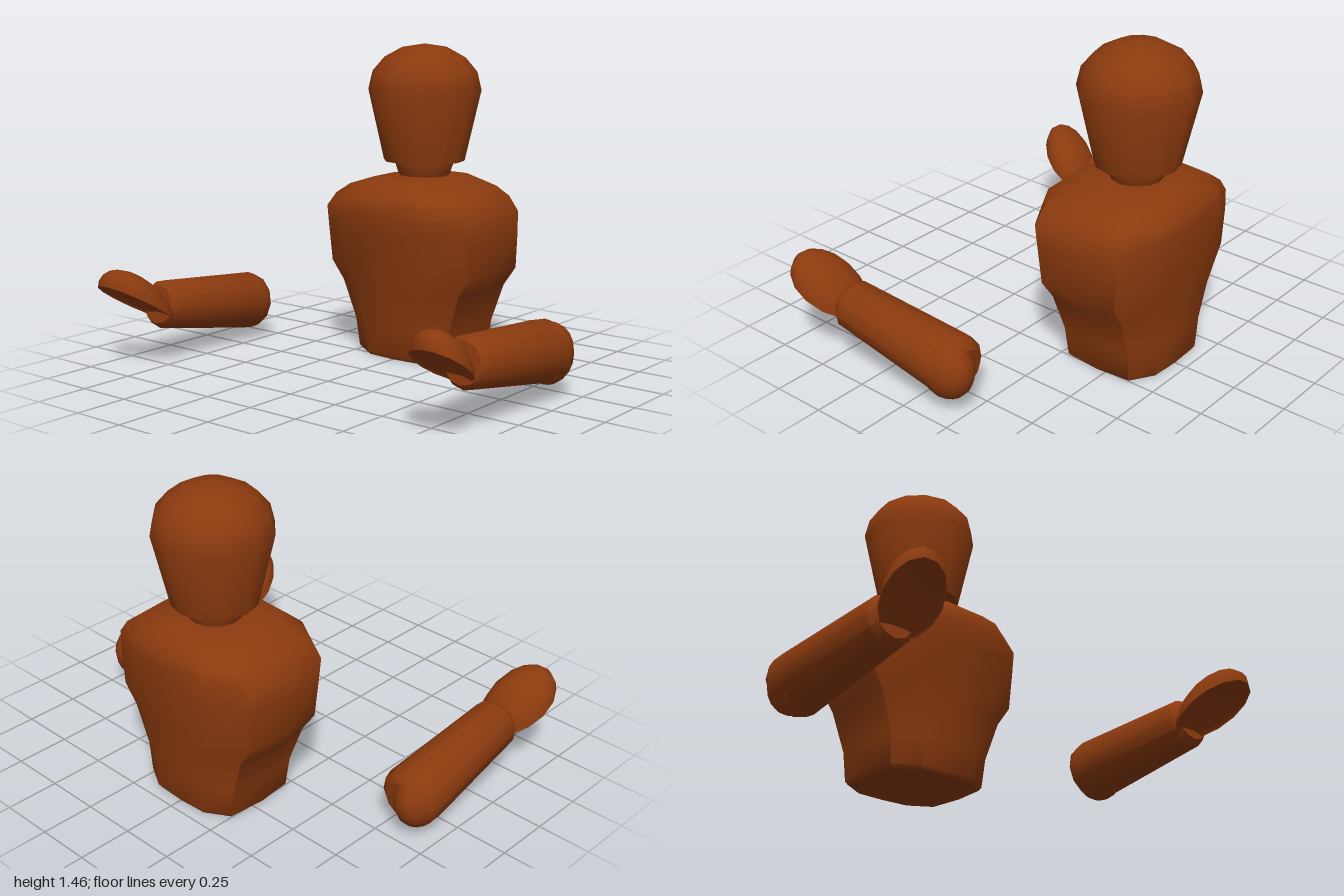
import * as THREE from 'three';
import { toCreasedNormals } from 'three/addons/utils/BufferGeometryUtils.js';

const material = new THREE.MeshStandardMaterial({ color: 0x8b3a0e });
const CENTRE_Z = -0.455;

function part(name, geometry, crease = 0.7) {
  const mesh = new THREE.Mesh(toCreasedNormals(geometry, crease), material);
  mesh.name = name;
  return mesh;
}

// Revolves a list of [radius, height] pairs, listed from bottom to top
function lathe(profile, sides) {
  return new THREE.LatheGeometry(profile.map(([r, y]) => new THREE.Vector2(r, y)), sides);
}

// Skins equal-length loops stacked upwards and closes both ends
function loft(loops) {
  const n = loops[0].length, pos = [], index = [];
  loops.forEach(loop => loop.forEach(p => pos.push(...p)));
  for (let i = 0; i < loops.length - 1; i++) {
    for (let j = 0; j < n; j++) {
      const a = i * n + j, b = i * n + (j + 1) % n;
      index.push(a, b, b + n, a, b + n, a + n);
    }
  }
  const top = (loops.length - 1) * n;
  for (let j = 1; j < n - 1; j++) {
    index.push(0, j + 1, j, top, top + j, top + j + 1);
  }
  const g = new THREE.BufferGeometry();
  g.setAttribute('position', new THREE.Float32BufferAttribute(pos, 3));
  g.setIndex(index);
  return g;
}

function createTorso() {
  // Half of the unit cross-section from front to back, then mirrored
  const half = [[0, 1], [0.54, 0.96], [0.94, 0.65], [1, 0], [0.94, -0.7], [0.53, -0.97], [0, -1]];
  const section = [...half, ...half.slice(1, -1).reverse().map(([x, z]) => [-x, z])];
  // Height, half width, back z, front z
  const levels = [
    [0, 0.26, -0.69, -0.22], [0.015, 0.275, -0.7, -0.21], [0.15, 0.29, -0.705, -0.195],
    [0.33, 0.355, -0.722, -0.17], [0.42, 0.42, -0.732, -0.155], [0.6, 0.422, -0.75, -0.122],
    [0.69, 0.422, -0.75, -0.108], [0.755, 0.37, -0.748, -0.118], [0.8, 0.31, -0.71, -0.17],
    [0.838, 0.19, -0.67, -0.225], [0.848, 0.1, -0.58, -0.33],
  ];
  return part('torso', loft(levels.map(([y, w, back, front]) =>
    section.map(([x, z]) => [x * w, y, (front + back) / 2 + z * (front - back) / 2]))), 0.75);
}

// Domed top with a shallow scooped underside, sheared up and outwards to the tip
function createHand(side, z) {
  const g = new THREE.SphereGeometry(1, 14, 12);
  const p = g.attributes.position;
  for (let i = 0; i < p.count; i++) {
    const u = p.getX(i), v = p.getY(i), w = p.getZ(i) * 0.155;
    const h = v < 0 ? -v * 0.03 : v * 0.135;
    p.setXYZ(i, u * 0.142 + side * w * 0.25, h + w * 0.65, w);
  }
  const hand = part('hand', g, 0.9);
  hand.position.set(side * 0.855, 0.29, z);
  return hand;
}

function createArm(side, elbow, wrist, ballZ, handZ) {
  const arm = new THREE.Group();
  arm.name = side > 0 ? 'leftArm' : 'rightArm';
  const from = new THREE.Vector3(...elbow), axis = new THREE.Vector3(...wrist).sub(from);
  const len = axis.length();

  const forearm = part('forearm', lathe(
    [[0, 0], [0.1, 0], [0.13, 0.025], [0.14, 0.07], [0.112, len - 0.03], [0.09, len], [0, len]], 12));
  forearm.position.copy(from);
  forearm.quaternion.setFromUnitVectors(new THREE.Vector3(0, 1, 0), axis.normalize());

  const joint = part('elbow', new THREE.SphereGeometry(1, 14, 10).scale(0.1, 0.135, 0.13));
  joint.position.set(side * 0.885, elbow[1] + 0.005, ballZ);

  arm.add(forearm, joint, createHand(side, handZ));
  return arm;
}

export function createModel() {
  const model = new THREE.Group();
  model.name = 'mannequin';
  model.add(createTorso());

  const neck = part('neck', lathe([[0, 0.83], [0.11, 0.83], [0.125, 0.865], [0.137, 0.9], [0.137, 0.93], [0, 0.93]], 12));
  const head = part('head', lathe([
    [0, 0.915], [0.19, 0.915], [0.265, 1.245], [0.245, 1.33], [0.19, 1.395], [0.105, 1.442], [0, 1.458],
  ], 12));
  neck.position.z = head.position.z = CENTRE_Z;
  model.add(neck, head);

  // The two arms are posed slightly differently
  model.add(
    createArm(1, [0.85, 0.188, -0.22], [0.86, 0.275, 0.45], -0.155, 0.58),
    createArm(-1, [-0.86, 0.165, -0.2], [-0.845, 0.265, 0.47], -0.125, 0.595),
  );
  return model;
}
